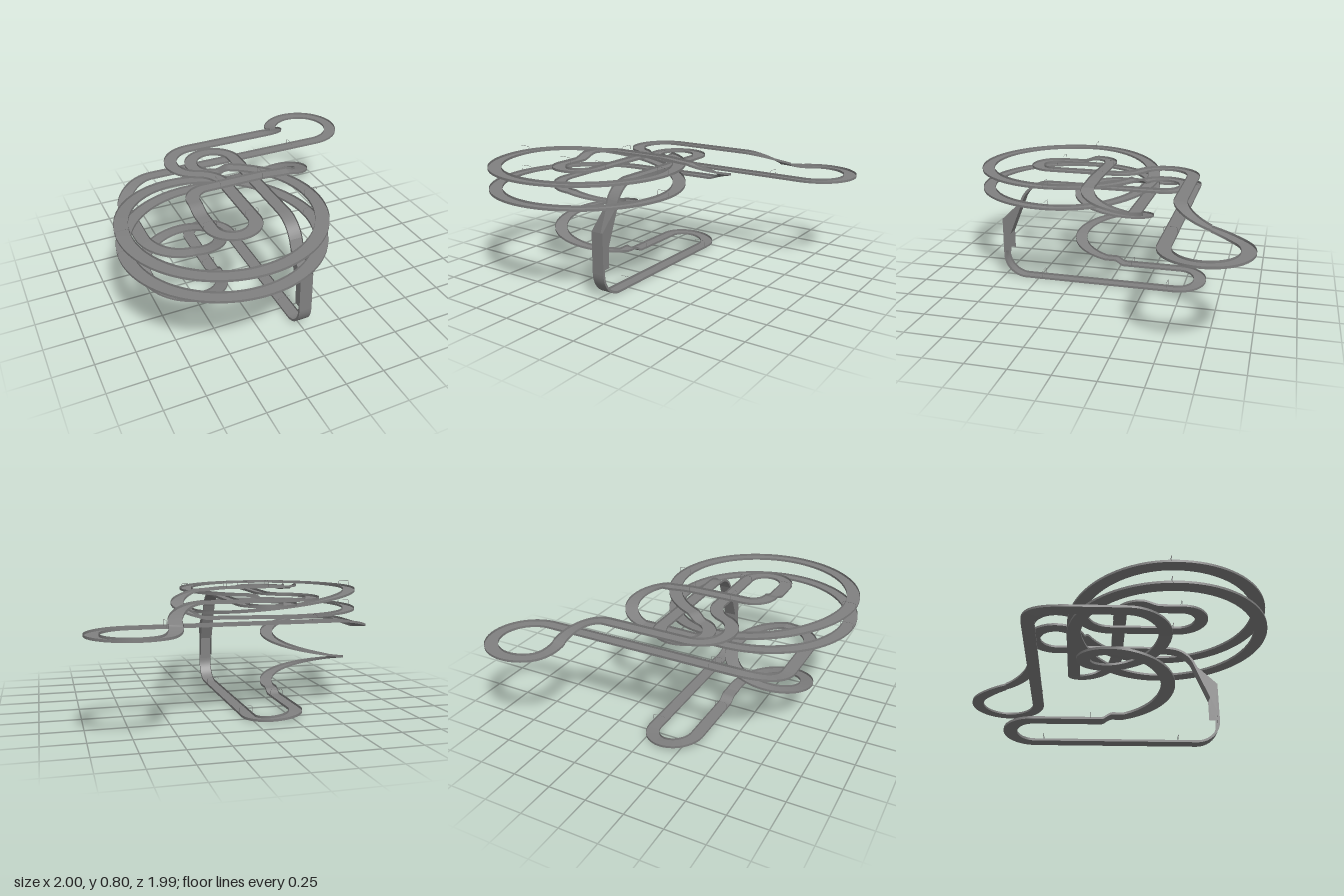
import * as THREE from 'three';

const HALF = 0.0415;  // half track width
const LIP = 0.015;    // height of the side lips
const MID = 0.004;    // x of the long straights
const PI = Math.PI;
const material = new THREE.MeshStandardMaterial({ color: 0x808080, side: THREE.DoubleSide });

// Straight in plan from (x0,z0) to (x1,z1), height y0 to y1
function line(x0, z0, x1, z1, y0, y1 = y0) {
  const len = Math.hypot(x1 - x0, z1 - z0);
  const dx = (x1 - x0) / len, dz = (z1 - z0) / len;
  const steps = y0 === y1 ? 1 : 12;
  return Array.from({ length: steps + 1 }, (_, i) => {
    const t = i / steps, s = (1 - Math.cos(PI * t)) / 2;
    return {
      p: new THREE.Vector3(x0 + (x1 - x0) * t, y0 + (y1 - y0) * s, z0 + (z1 - z0) * t),
      side: new THREE.Vector3(-dz, 0, dx), up: new THREE.Vector3(0, 1, 0),
    };
  });
}

// Bend in plan about (cx,cz) from angle a0 to a1, eased or steady climb
function bend(cx, cz, r, a0, a1, y0, y1 = y0, ease = true) {
  const steps = Math.max(8, Math.ceil(Math.abs(a1 - a0) / 0.07));
  const turn = Math.sign(a1 - a0);
  return Array.from({ length: steps + 1 }, (_, i) => {
    const t = i / steps, a = a0 + (a1 - a0) * t;
    const s = ease ? (1 - Math.cos(PI * t)) / 2 : t;
    const c = Math.cos(a), n = Math.sin(a);
    return {
      p: new THREE.Vector3(cx + r * c, y0 + (y1 - y0) * s, cz + r * n),
      side: new THREE.Vector3(-c * turn, 0, -n * turn), up: new THREE.Vector3(0, 1, 0),
    };
  });
}

// Vertical path on x = MID along a curve drawn in (z, y); lips rise on its left
function upright(curve, steps) {
  return Array.from({ length: steps + 1 }, (_, i) => {
    const q = curve.getPoint(i / steps), d = curve.getTangent(i / steps);
    return {
      p: new THREE.Vector3(MID, q.y, q.x), side: new THREE.Vector3(1, 0, 0),
      up: new THREE.Vector3(0, d.x, -d.y),
    };
  });
}

// Open channel: floor strip and two lips, each with its own vertices
function channel(name, frames) {
  const pos = [], index = [];
  const corner = (f, u, v) => f.p.clone().addScaledVector(f.side, u * HALF).addScaledVector(f.up, v * LIP);
  const strips = [[[-1, 1], [-1, 0]], [[-1, 0], [1, 0]], [[1, 0], [1, 1]]];
  for (const [a, b] of strips) {
    const base = pos.length / 3;
    frames.forEach((f, i) => {
      pos.push(...corner(f, ...a).toArray(), ...corner(f, ...b).toArray());
      if (i) {
        const k = base + 2 * i;
        index.push(k - 2, k - 1, k, k - 1, k + 1, k);
      }
    });
  }
  const geo = new THREE.BufferGeometry();
  geo.setAttribute('position', new THREE.Float32BufferAttribute(pos, 3));
  geo.setIndex(index);
  geo.computeVertexNormals();
  const mesh = new THREE.Mesh(geo, material);
  mesh.name = name;
  return mesh;
}

// Thin wire arch across the track
function gate(x, y, z, turn) {
  const w = HALF, h = 0.042, c = 0.012;
  const path = new THREE.CurvePath();
  const v = (a, b) => new THREE.Vector3(a, b, 0);
  path.add(new THREE.LineCurve3(v(-w, 0), v(-w, h - c)));
  path.add(new THREE.QuadraticBezierCurve3(v(-w, h - c), v(-w, h), v(-w + c, h)));
  path.add(new THREE.LineCurve3(v(-w + c, h), v(w - c, h)));
  path.add(new THREE.QuadraticBezierCurve3(v(w - c, h), v(w, h), v(w, h - c)));
  path.add(new THREE.LineCurve3(v(w, h - c), v(w, 0)));
  const mesh = new THREE.Mesh(new THREE.TubeGeometry(path, 40, 0.0013, 4), material);
  mesh.position.set(x, y, z);
  mesh.rotation.y = turn;
  mesh.name = 'gate';
  return mesh;
}

export function createModel() {
  const group = new THREE.Group();
  const add = (name, ...runs) => group.add(channel(name, runs.flat()));
  const ring = [-0.373, 0.37, 0.587];

  // Upper straight, hairpin and short ramp onto the big ring
  add('upperStraight', line(MID, 0.4, MID, -0.331, 0.677));
  add('upperHairpin', bend(MID - 0.15, -0.331, 0.15, 0, -4.399, 0.677));
  add('ringRamp', bend(...ring, -1.258, -1.1, 0.677, 0.716));

  // Two laps of the big ring, joined by a falling half lap
  add('ringUpperLap', bend(...ring, -1.1, PI, 0.716));
  add('ringDescent', bend(...ring, PI, 2 * PI, 0.716, 0.577));
  add('ringLowerLap', bend(...ring, 0, 1.5 * PI, 0.577));

  // Climbing turn on the right and the raised cross straight
  add('ringExit', line(-0.373, -0.217, 0.215, -0.217, 0.577, 0.585));
  add('climbingTurn', bend(0.215, -0.067, 0.15, -PI / 2, PI / 2, 0.585, 0.735, false));
  add('crossStraight', line(0.215, 0.083, 0, 0.083, 0.735, 0.748), line(0, 0.083, -0.36, 0.083, 0.748));
  add('crossCorner', bend(-0.36, 0.208, 0.125, -PI / 2, -PI, 0.748));
  add('crossDip', line(-0.485, 0.208, -0.485, 0.33, 0.748, 0.716), line(-0.485, 0.33, -0.485, 0.47, 0.716));

  // Inner hairpin, S-bend and upper back straight
  add('innerHairpin', bend(-0.349, 0.47, 0.136, PI, 0, 0.716));
  add('innerStraight', line(-0.213, 0.47, -0.213, 0.022, 0.716));
  add('sBend', bend(-0.403, 0.022, 0.19, 0, -1.151, 0.716),
    bend(-0.248, -0.325, 0.19, PI - 1.151, 1.5 * PI, 0.716));
  add('upperBackStraight', line(-0.248, -0.515, 0.29, -0.515, 0.716));

  // Ramp down into the far loop: one slope shared by two opposite bends
  const ramp = [...bend(0.29, -0.725, 0.21, PI / 2, 0, 0), ...bend(0.73, -0.725, 0.23, PI, PI + 0.9, 0)];
  ramp.forEach((f, i) => {
    const t = i / (ramp.length - 1);
    f.p.y = 0.716 - 0.136 * (t * t * (3 - 2 * t));
  });
  add('farRamp', ramp);
  add('farLoop', bend(0.73, -0.725, 0.23, PI + 0.9, 2.5 * PI, 0.58));
  add('lowerBackStraight', line(0.73, -0.495, -0.535, -0.495, 0.58));
  add('backCorner', bend(-0.535, -0.235, 0.26, -PI / 2, -PI, 0.58, 0.513));
  add('spiralEntry', line(-0.795, -0.235, -0.795, 0.097, 0.513));

  // Falling spiral of one and a half turns
  const spiral = [-0.5455, 0.097, 0.2495];
  add('spiral', bend(...spiral, PI, PI / 2, 0.513, 0.495),
    bend(...spiral, PI / 2, -2 * PI, 0.495, 0.062, false));

  // Ground level return
  const back = MID - 0.3;
  add('spiralExit', line(back, 0.097, back, 0.03, 0.062), line(back, 0.03, back, -0.04, 0.062, 0.03),
    line(back, -0.04, back, -0.45, 0.03));
  add('groundHairpin', bend(MID - 0.15, -0.45, 0.15, PI, 2 * PI, 0.03, 0.002));
  add('groundStraight', line(MID, -0.45, MID, 0.59, 0.002));

  // Drop: upper lip curls down, lower quarter pipe catches
  const v = (z, y) => new THREE.Vector2(z, y);
  add('dropLip', upright(new THREE.QuadraticBezierCurve(v(0.4, 0.677), v(0.53, 0.682), v(0.585, 0.58)), 14),
    upright(new THREE.LineCurve(v(0.585, 0.58), v(0.69, 0.32)), 1));
  add('quarterPipe', upright(new THREE.EllipseCurve(0.59, 0.157, 0.155, 0.155, -PI / 2, 0), 16),
    upright(new THREE.LineCurve(v(0.745, 0.157), v(0.745, 0.42)), 1));

  // Side plates enclosing the drop
  const plate = new THREE.Shape([v(0.745, 0.19), v(0.745, 0.42), v(0.595, 0.565), v(0.585, 0.58), v(0.69, 0.32), v(0.69, 0.19)]);
  for (const s of [-1, 1]) {
    const mesh = new THREE.Mesh(new THREE.ShapeGeometry(plate), material);
    mesh.rotation.y = -PI / 2;
    mesh.position.x = MID + s * HALF;
    mesh.name = 'dropSidePlate';
    group.add(mesh);
  }

  // Wire gates over the track
  const q = PI / 2;
  const gates = [
    [-0.96, 0.722, 0.34, 0], [0.214, 0.722, 0.37, 0], [-0.96, 0.583, 0.34, 0], [0.214, 0.583, 0.37, 0],
    [0.01, 0.755, 0.083, q], [-0.28, 0.755, 0.083, q], [-0.41, 0.585, -0.495, q], [0.52, 0.585, -0.495, q],
    [-0.485, 0.722, 0.46, 0], [-0.213, 0.722, 0.44, 0],
    [MID, 0.015, 0.47, 0], [MID, 0.015, -0.4, 0], [back, 0.037, -0.1, 0],
  ];
  gates.forEach((g) => group.add(gate(...g)));
  return group;
}
